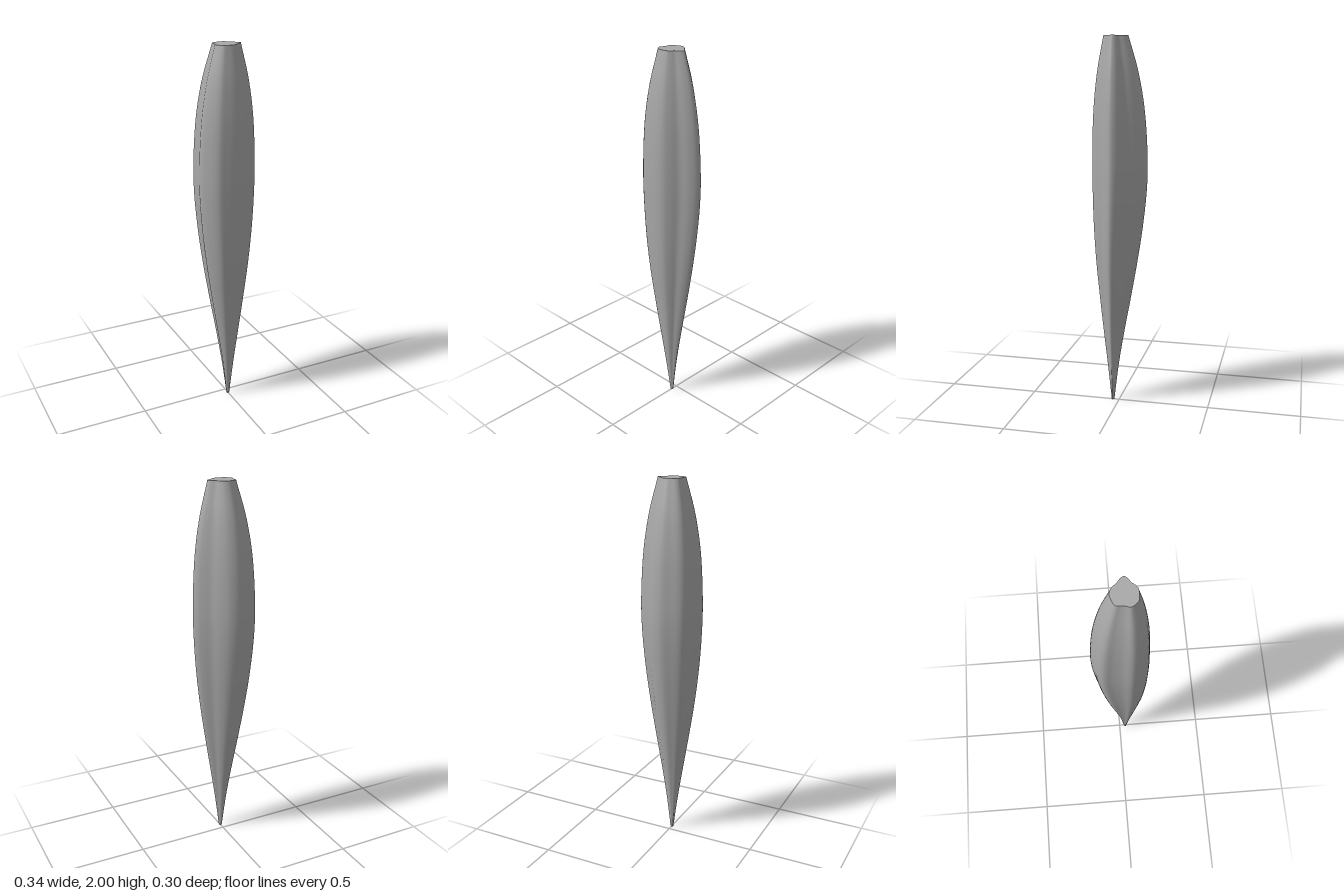
import * as THREE from 'three';

// Lobed cross-section at the widest height, as [x, z], counter-clockwise from above
const OUTLINE = [
  [0.167, 0.012], [0.157, -0.018], [0.134, -0.041], [0.1, -0.068], [0.068, -0.107],
  [0.028, -0.138], [-0.021, -0.15], [-0.07, -0.136], [-0.121, -0.116], [-0.143, -0.089],
  [-0.145, -0.045], [-0.152, 0], [-0.168, 0.05], [-0.15, 0.089], [-0.105, 0.134],
  [-0.061, 0.143], [-0.007, 0.146], [0.037, 0.136], [0.07, 0.107], [0.095, 0.077], [0.139, 0.048],
];
// Profile along the height: [y, scale of the cross-section, z of the axis]
const PROFILE = [
  [0, 0.05, 0.035], [0.2, 0.2, 0.034], [0.4, 0.385, 0.03], [0.6, 0.58, 0.023], [0.8, 0.76, 0.016],
  [1, 0.9, 0.008], [1.2, 0.985, 0.001], [1.35, 1, 0], [1.6, 0.925, 0.004], [1.8, 0.75, 0.01], [2, 0.44, 0.019],
];
const SIDES = 84;
const RINGS = 48;

const toCurve = (points, closed) =>
  new THREE.CatmullRomCurve3(points.map((p) => new THREE.Vector3(...p)), closed, 'centripetal');

function makeGeometry(positions, indices) {
  const geometry = new THREE.BufferGeometry();
  geometry.setAttribute('position', new THREE.Float32BufferAttribute(positions, 3));
  geometry.setIndex(indices);
  geometry.computeVertexNormals();
  return geometry;
}

export function createModel() {
  const group = new THREE.Group();
  group.name = 'taperedStalk';
  const grey = new THREE.MeshStandardMaterial({ color: 0xa8a8a8 });
  grey.name = 'grey';

  const section = toCurve(OUTLINE.map(([x, z]) => [x, 0, z]), true);
  const profile = toCurve(PROFILE, false);
  const loop = Array.from({ length: SIDES }, (_, i) => section.getPoint(i / SIDES));
  const ring = (t) => {
    const { x: y, y: scale, z: axis } = profile.getPoint(t);
    return loop.flatMap((p) => [p.x * scale, y, axis + p.z * scale]);
  };

  // Body: lofted rings with a shared seam so it shades smoothly
  const positions = [];
  const indices = [];
  for (let j = 0; j <= RINGS; j++) {
    positions.push(...ring(j / RINGS));
    if (j === RINGS) break;
    for (let i = 0; i < SIDES; i++) {
      const a = j * SIDES + i;
      const b = j * SIDES + ((i + 1) % SIDES);
      indices.push(a, b, b + SIDES, a, b + SIDES, a + SIDES);
    }
  }
  const body = new THREE.Mesh(makeGeometry(positions, indices), grey);
  body.name = 'body';
  group.add(body);

  // Flat end caps, fanned from the axis
  const addCap = (name, t, up) => {
    const end = profile.getPoint(t);
    const faces = [];
    for (let i = 0; i < SIDES; i++) {
      const next = (i + 1) % SIDES;
      faces.push(SIDES, up ? i : next, up ? next : i);
    }
    const cap = new THREE.Mesh(makeGeometry([...ring(t), 0, end.x, end.z], faces), grey);
    cap.name = name;
    group.add(cap);
  };
  addCap('topCap', 1, true);
  addCap('bottomTip', 0, false);

  return group;
}
